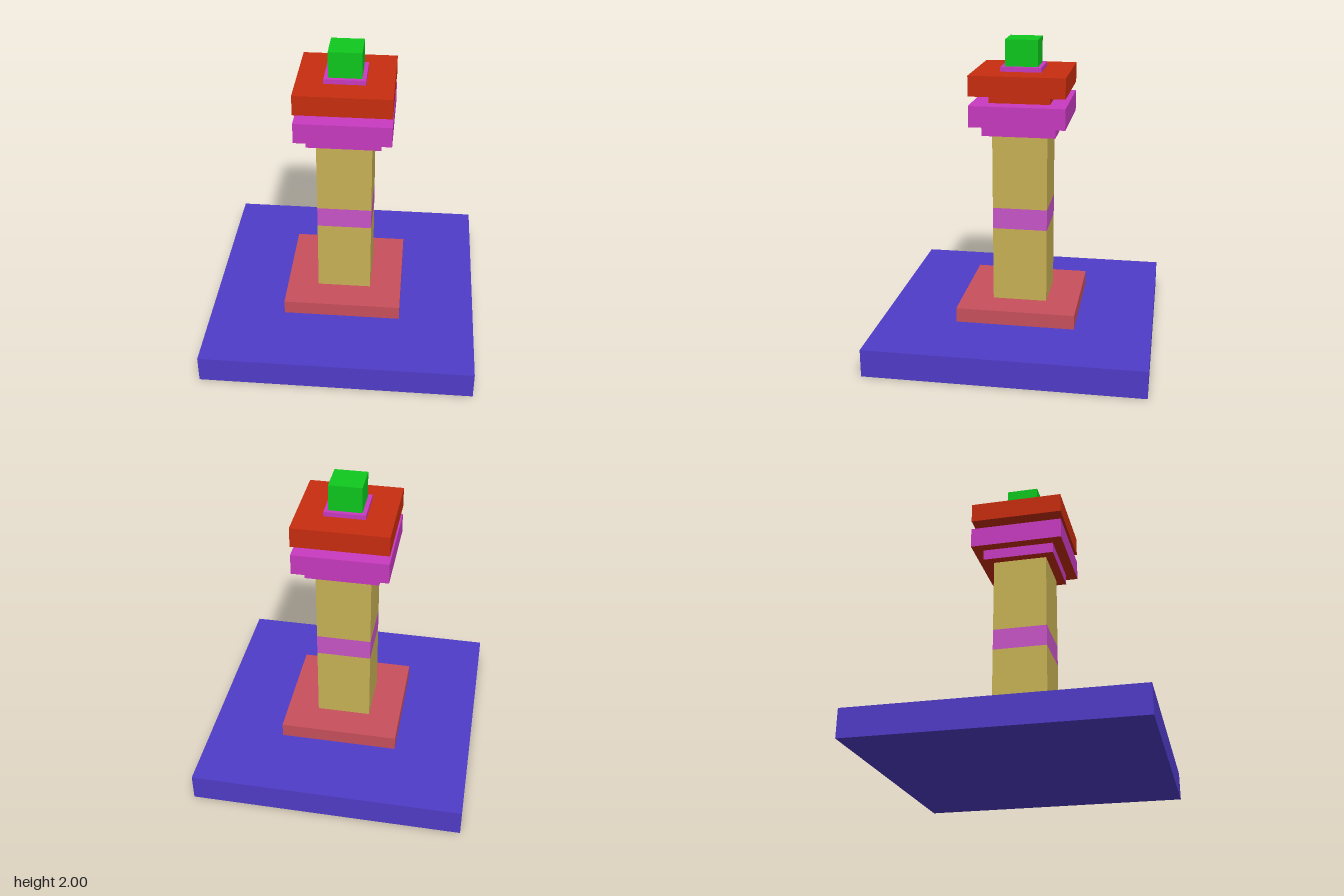
import * as THREE from 'three';

const RED = 0xc82d0f;
const MAGENTA = 0xc83ac0;
const SAND = 0xc8b255;

// name, half width, bottom y, top y, colour, optional underside colour
const TIERS = [
  ['base', 0.885, 0, 0.18, 0x503cc8],
  ['plinth', 0.388, 0.18, 0.275, 0xc8505c],
  ['lowerShaft', 0.178, 0.275, 0.77, SAND],
  ['shaftBand', 0.178, 0.77, 0.91, 0xc855c8],
  ['upperShaft', 0.178, 0.91, 1.405, SAND],
  ['capitalCollar', 0.236, 1.405, 1.475, MAGENTA, RED],
  ['capitalSlab', 0.305, 1.475, 1.61, MAGENTA, RED],
  ['capitalNeck', 0.195, 1.61, 1.67, RED],
  ['topSlab', 0.305, 1.67, 1.8, RED],
  ['finialSeat', 0.131, 1.8, 1.83, MAGENTA],
  ['finial', 0.105, 1.83, 2, 0x0fc81e],
];

const paint = (color) => new THREE.MeshStandardMaterial({ color });

export function createModel() {
  const model = new THREE.Group();
  model.name = 'column';

  // Square tiers stacked from the ground up
  for (const [name, half, bottom, top, color, underside] of TIERS) {
    const geometry = new THREE.BoxGeometry(half * 2, top - bottom, half * 2);
    const side = paint(color);
    // Box faces run +x, -x, +y, -y, +z, -z
    const material = underside === undefined
      ? side
      : [side, side, side, paint(underside), side, side];
    const mesh = new THREE.Mesh(geometry, material);
    mesh.name = name;
    mesh.position.y = (bottom + top) / 2;
    model.add(mesh);
  }
  return model;
}
